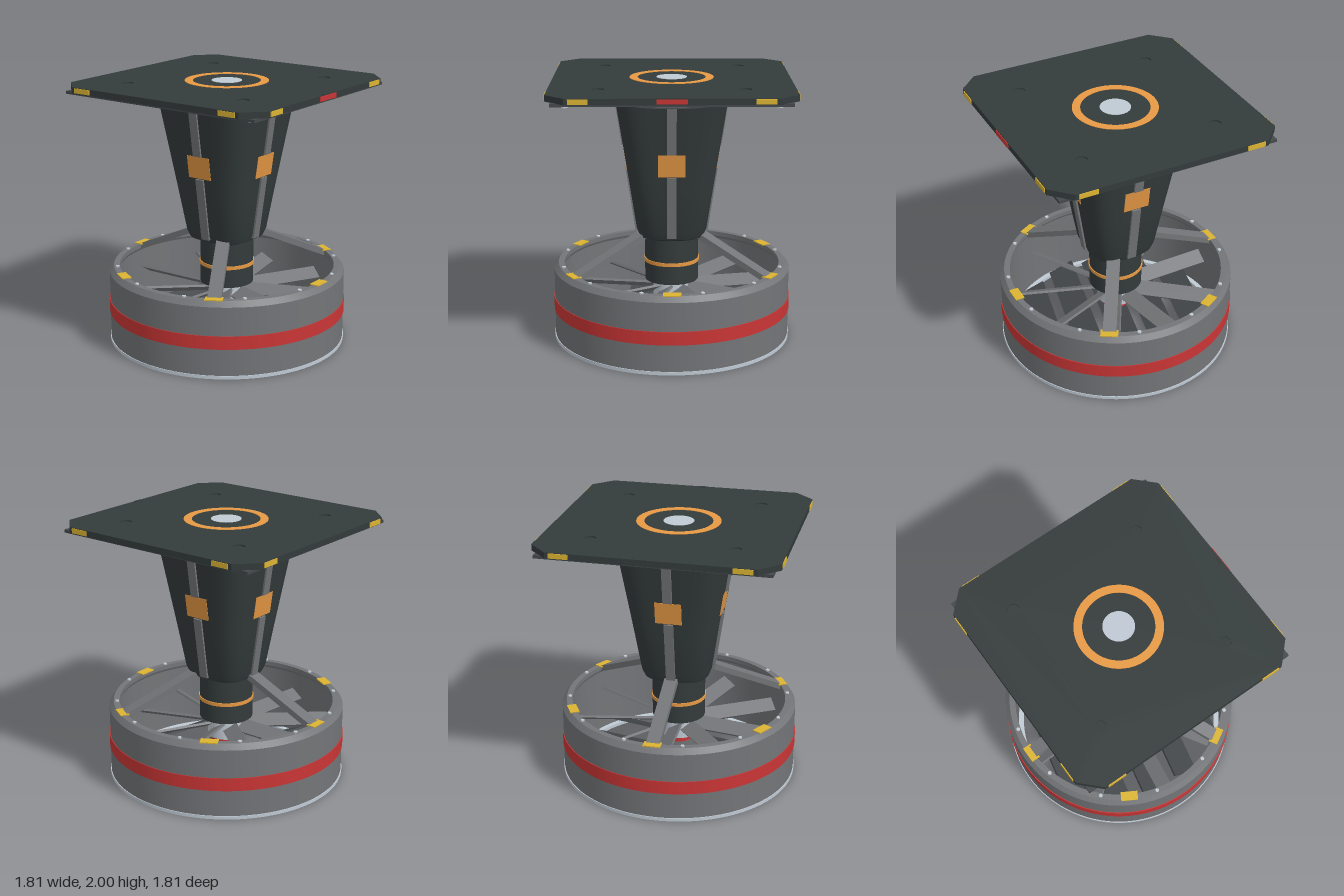
import * as THREE from 'three';
import { toCreasedNormals } from 'three/addons/utils/BufferGeometryUtils.js';

const paint = (name, color) => {
  const m = new THREE.MeshStandardMaterial({ color });
  m.name = name;
  return m;
};

export function createModel() {
  const dark = paint('dark slate', 0x343b3b);
  const grey = paint('mid grey', 0x737578);
  const red = paint('red', 0xca3535);
  const orange = paint('orange', 0xe99b45);
  const yellow = paint('yellow', 0xdcb432);
  const silver = paint('silver', 0xc0cad4);
  const charcoal = paint('charcoal', 0x45494c);

  const model = new THREE.Group();
  const add = (name, geo, mat, x = 0, y = 0, z = 0, parent = model) => {
    const mesh = new THREE.Mesh(geo, mat);
    mesh.name = name;
    mesh.position.set(x, y, z);
    parent.add(mesh);
    return mesh;
  };
  const box = (w, h, d) => new THREE.BoxGeometry(w, h, d);
  const cyl = (r, h, n = 48) => new THREE.CylinderGeometry(r, r, h, n);
  const lathe = (pts, n = 64) => toCreasedNormals(
    new THREE.LatheGeometry(pts.map(p => new THREE.Vector2(...p)), n), 0.4);
  // Group turned about the vertical axis; its local +x points outwards
  const spoke = (name, angle) => {
    const g = new THREE.Group();
    g.name = name;
    g.rotation.y = angle;
    model.add(g);
    return g;
  };
  const TAU = Math.PI * 2;

  // Duct, bands and flange
  add('duct', lathe([[0.83, 0.02], [0.898, 0.02], [0.898, 0.545], [0.865, 0.585],
    [0.82, 0.585], [0.82, 0.55], [0.83, 0.53], [0.83, 0.02]], 96), grey);
  add('ductBand', lathe([[0.89, 0.228], [0.904, 0.228], [0.904, 0.328], [0.89, 0.328]], 96), red);
  add('bottomFlange', lathe([[0.79, 0], [0.904, 0], [0.904, 0.025], [0.79, 0.025], [0.79, 0]], 96), silver);

  // Pads and bolts on the rim
  for (let i = 0; i < 6; i++) {
    const g = spoke('rimPadMount', Math.PI / 6 + i * TAU / 6);
    add('rimPad', box(0.07, 0.008, 0.13), yellow, 0.835, 0.586, 0, g);
  }
  for (let i = 0; i < 12; i++) {
    const g = spoke('rimBoltMount', TAU / 24 + i * TAU / 12);
    add('rimBolt', cyl(0.015, 0.014, 8), silver, 0.84, 0.588, 0, g);
  }

  // Three struts from the body down to the rim
  for (let i = 0; i < 3; i++) {
    const g = spoke('strutMount', Math.PI / 2 + i * TAU / 3);
    const strut = add('strut', box(0.69, 0.045, 0.1), grey, 0.515, 0.702, 0, g);
    strut.rotation.z = -Math.atan2(0.27, 0.6);
  }

  // Fan with pitched blades
  for (let i = 0; i < 9; i++) {
    const g = spoke('fanBladeMount', i * TAU / 9 + 0.2);
    const blade = add('fanBlade', box(0.68, 0.018, 0.12), grey, 0.45, 0.38, 0, g);
    blade.rotation.x = 0.55;
  }
  add('fanHub', cyl(0.14, 0.18), silver, 0, 0.37, 0);
  add('fanHubCap', cyl(0.11, 0.05), red, 0, 0.26, 0);

  // Louvre slats across the bottom opening
  const louvres = spoke('louvres', -0.21);
  for (let i = -2; i <= 2; i++) {
    const z = i * 0.29;
    const half = Math.sqrt(0.76 ** 2 - z * z) - 0.02;
    const slat = add('louvreSlat', box(half * 2, 0.022, 0.21), charcoal, 0, 0.1, z, louvres);
    slat.rotation.x = 0.45;
  }

  // Neck
  add('neck', cyl(0.203, 0.37), dark, 0, 0.625, 0);
  add('neckRing', lathe([[0.2, 0.585], [0.21, 0.585], [0.21, 0.612], [0.2, 0.612]]), orange);

  // Tapered body, squared off by a superellipse rule that sharpens towards the top
  const body = new THREE.LatheGeometry([[0, 0.79], [0.205, 0.79], [0.245, 0.808], [0.265, 0.86],
    [0.315, 1.2], [0.366, 1.54], [0.414, 1.86], [0, 1.86]].map(p => new THREE.Vector2(...p)), 96);
  const pos = body.attributes.position;
  for (let i = 0; i < pos.count; i++) {
    const x = pos.getX(i), y = pos.getY(i), z = pos.getZ(i), r = Math.hypot(x, z);
    if (r < 1e-6) continue;
    const p = 3.2 + 1.6 * (y - 0.79);
    const k = Math.pow(Math.abs(x / r) ** p + Math.abs(z / r) ** p, -1 / p);
    pos.setXYZ(i, x * k, y, z * k);
  }
  add('body', toCreasedNormals(body, 0.45), dark);

  // Rails and panels on the four sides, lying on the taper
  const slope = Math.atan(0.149);
  const wall = y => 0.265 + (y - 0.86) * 0.149;
  for (let i = 0; i < 4; i++) {
    const g = spoke('bodySide', i * Math.PI / 2);
    const onWall = (name, y0, y1, width, thick, out, mat) => {
      const y = (y0 + y1) / 2;
      const part = add(name, box(thick, (y1 - y0) / Math.cos(slope), width), mat,
        wall(y) + out - thick / 2, y, 0, g);
      part.rotation.z = -slope;
    };
    onWall('lowerRail', 0.83, 1.31, 0.07, 0.03, 0.014, grey);
    onWall('upperRail', 1.49, 1.85, 0.07, 0.03, 0.014, grey);
    onWall('sidePanel', 1.315, 1.485, 0.2, 0.009, 0.002, orange);
  }

  // Collar under the plate
  add('collar', lathe([[0, 1.85], [0.495, 1.85], [0.51, 1.865], [0.51, 1.89], [0, 1.89]]), grey);
  add('collarBand', lathe([[0, 1.886], [0.522, 1.886], [0.522, 1.932], [0, 1.932]]), red);
  add('collarSeat', cyl(0.5, 0.04), dark, 0, 1.94, 0);

  // Chamfered top plate in two layers, the upper with four round recesses
  const outline = (h, c) => new THREE.Shape([[h - c, -h], [h, c - h], [h, h - c], [h - c, h],
    [c - h, h], [-h, h - c], [-h, c - h], [c - h, -h]].map(p => new THREE.Vector2(...p)));
  const slab = (shape, depth) => new THREE.ExtrudeGeometry(shape,
    { depth, bevelEnabled: false, curveSegments: 24 }).rotateX(-Math.PI / 2);
  const upper = outline(0.877, 0.14);
  for (const x of [-0.52, 0.52]) for (const z of [-0.52, 0.52]) {
    upper.holes.push(new THREE.Path().absarc(x, z, 0.045, 0, TAU, true));
  }
  add('plateBase', slab(outline(0.877, 0.14), 0.035), dark, 0, 1.952, 0);
  add('plateTop', slab(upper, 0.01), dark, 0, 1.987, 0);
  const ring = new THREE.Shape().absarc(0, 0, 0.312, 0, TAU, false);
  ring.holes.push(new THREE.Path().absarc(0, 0, 0.252, 0, TAU, true));
  add('plateRing', slab(ring, 0.004), orange, 0, 1.996, 0);
  add('plateDisc', cyl(0.113, 0.005), silver, 0, 1.9975, 0);

  // Edge marks, frame beams and frame bolts on each side of the plate
  for (let i = 0; i < 4; i++) {
    const g = spoke('plateSide', i * Math.PI / 2);
    for (const s of [-1, 1]) add('edgeMark', box(0.009, 0.036, 0.14), yellow, 0.879, 1.975, s * 0.64, g);
    add('frameBeam', box(0.04, 0.022, 1.67), charcoal, 0.815, 1.942, 0, g);
    add('frameBolt', cyl(0.025, 0.042, 12), silver, 0.74, 1.931, 0.74, g);
  }
  add('frontMark', box(0.21, 0.036, 0.009), red, 0, 1.975, 0.878);
  add('frontNotch', box(0.07, 0.006, 0.025), dark, 0, 1.997, 0.864);

  return model;
}
